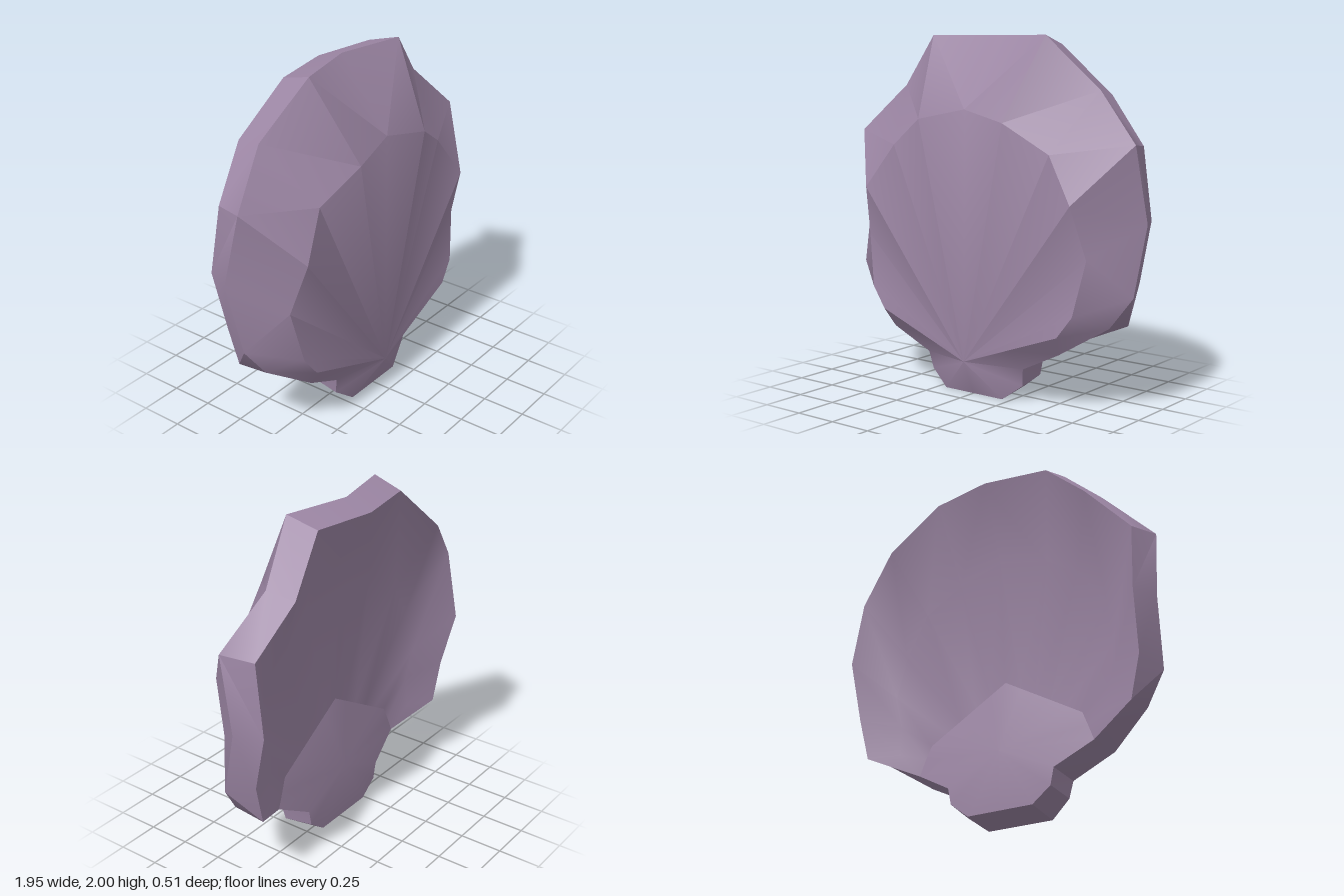
import * as THREE from 'three';
import { toCreasedNormals } from 'three/addons/utils/BufferGeometryUtils.js';

// Half cross-section loops (x >= 0), each running from top centre to bottom centre.
const frontRim = [
  [0, 2, -0.09], [0.39, 2, 0], [0.68, 1.71, -0.095], [0.95, 1.44, -0.01],
  [0.975, 1.02, -0.1], [0.95, 0.64, -0.01], [0.83, 0.47, 0.03], [0.58, 0.31, 0.135],
  [0.335, 0.19, 0.12], [0.32, 0.09, 0.1], [0.2, 0, 0.13], [0, 0, 0.13],
];
const backRim = [
  [0, 1.95, -0.25], [0.37, 1.95, -0.185], [0.65, 1.68, -0.257], [0.89, 1.42, -0.19],
  [0.91, 1.02, -0.25], [0.89, 0.69, -0.17], [0.83, 0.45, -0.16], [0.55, 0.33, -0.04],
  [0.33, 0.21, -0.08], [0.31, 0.115, -0.08], [0.2, 0.03, -0.08], [0, 0.03, -0.08],
];
const apex = [0, 0.2, 0.22];
const frontRidge = [
  [0, 1.6, 0.21], [0.29, 1.54, 0.255], [0.54, 1.38, 0.18], [0.71, 1.13, 0.235],
  [0.76, 0.84, 0.15], [0.7, 0.54, 0.19], [0.61, 0.42, 0.2], [0.3, 0.308, 0.21],
  apex, apex, apex, apex,
];
// Below the seventh point the back loops merge into the hinge edge.
const hingeEdge = backRim.slice(7);
const bowlRing = [
  [0, 1.5, -0.08], [0.29, 1.45, -0.045], [0.5, 1.3, -0.08], [0.66, 1.08, -0.045],
  [0.7, 0.82, -0.08], [0.67, 0.64, -0.06], [0.66, 0.46, -0.08], ...hingeEdge,
];
const padEdge = [];
for (let i = 0; i <= 5; i++) {
  const t = i / 5;
  padEdge.push([0.48 * t, 0.78 - 0.28 * t, -0.02 - 0.01 * t]);
}
padEdge.push([0.515, 0.42, -0.037], ...hingeEdge);

const loopOf = (p) => frontRim.map(() => p);

// Skins successive half loops, mirrors them across x = 0 and keeps sharp creases.
function skin(loops, crease) {
  const pos = [];
  const tri = (a, b, c) => {
    const [A, B, C] = [a, b, c].map((p) => new THREE.Vector3(...p));
    if (B.clone().sub(A).cross(C.clone().sub(A)).length() < 1e-7) return;
    pos.push(...a, ...b, ...c);
    for (const p of [a, c, b]) pos.push(-p[0], p[1], p[2]);
  };
  for (let k = 0; k + 1 < loops.length; k++) {
    const a = loops[k], b = loops[k + 1];
    for (let i = 0; i + 1 < a.length; i++) {
      tri(a[i], a[i + 1], b[i + 1]);
      tri(a[i], b[i + 1], b[i]);
    }
  }
  const geo = new THREE.BufferGeometry();
  geo.setAttribute('position', new THREE.Float32BufferAttribute(pos, 3));
  return toCreasedNormals(geo, THREE.MathUtils.degToRad(crease));
}

export function createModel() {
  const group = new THREE.Group();
  group.name = 'scallopShell';
  const mauve = new THREE.MeshStandardMaterial({ color: 0x9c86a4 });
  mauve.name = 'mauve';

  const add = (name, loops, crease) => {
    const mesh = new THREE.Mesh(skin(loops, crease), mauve);
    mesh.name = name;
    group.add(mesh);
  };

  // Ribbed fan with its flared border
  add('frontFace', [loopOf(apex), frontRidge, frontRim], 32);
  // Thick scalloped edge
  add('rimWall', [frontRim, backRim], 32);
  // Hollow back
  add('backBowl', [backRim, bowlRing, padEdge], 45);
  // Raised pad behind the hinge
  add('hingePad', [padEdge, loopOf([0, 0.36, -0.09])], 45);
  return group;
}
